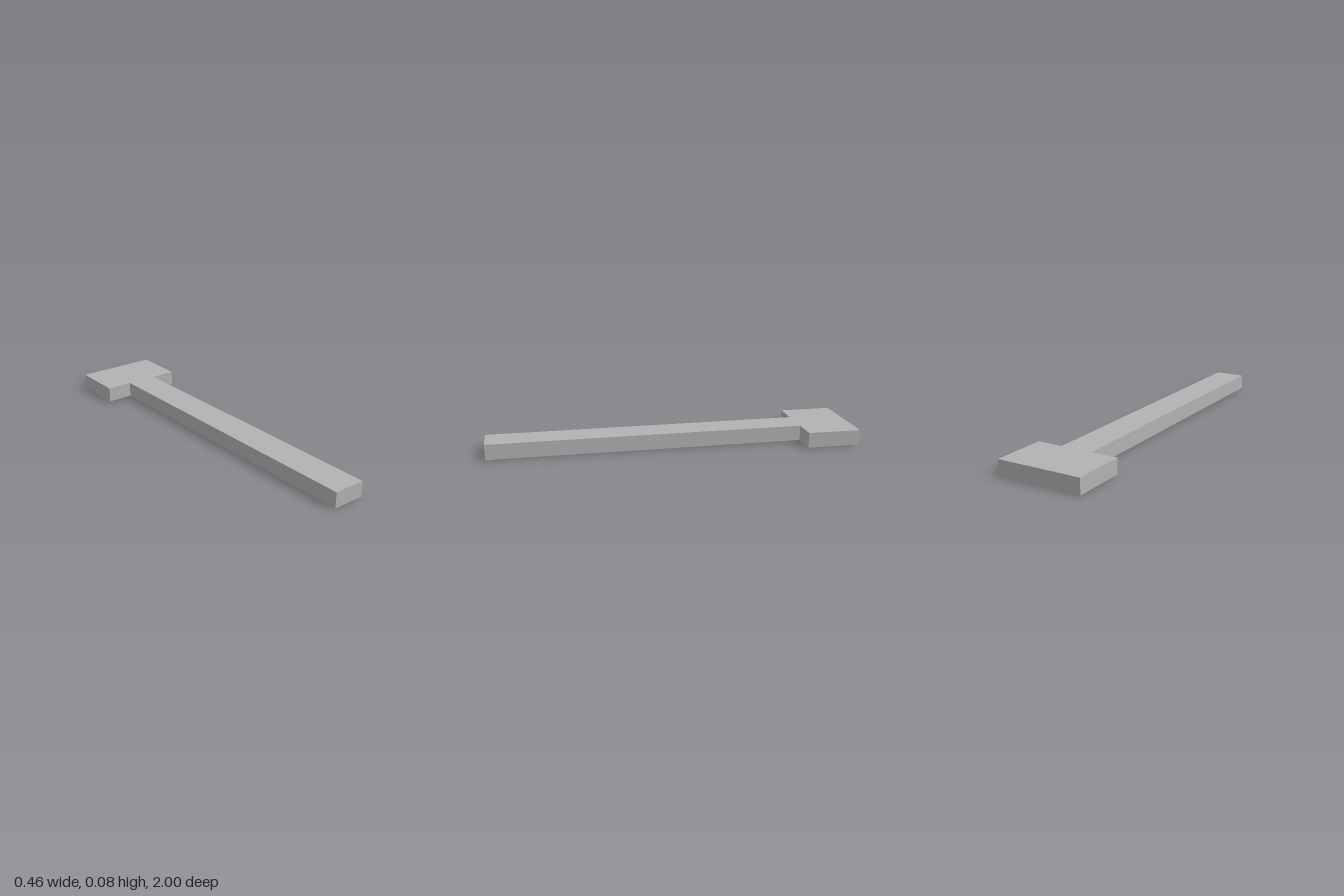
import * as THREE from 'three';

const HEIGHT = 0.083;

export function createModel() {
  const group = new THREE.Group();
  group.name = 'tBar';
  const grey = new THREE.MeshStandardMaterial({ color: 0xb2b2b2 });
  grey.name = 'plain grey';

  // T-shaped outline as [x, z], very slightly skewed from the z axis
  const outline = [
    [-0.095, 0.999], [0.077, 1], // shaft end
    [0.086, -0.709], [0.224, -0.708], // right shoulder
    [0.229, -0.999], [-0.227, -1], // head back
    [-0.23, -0.71], [-0.086, -0.71], // left shoulder
  ];
  const shape = new THREE.Shape(outline.map(([x, z]) => new THREE.Vector2(x, -z)));

  // Shaft and head are one flat slab, extruded upward
  const geometry = new THREE.ExtrudeGeometry(shape, { depth: HEIGHT, bevelEnabled: false });
  geometry.rotateX(-Math.PI / 2);
  const slab = new THREE.Mesh(geometry, grey);
  slab.name = 'shaftAndHead';
  group.add(slab);
  return group;
}
